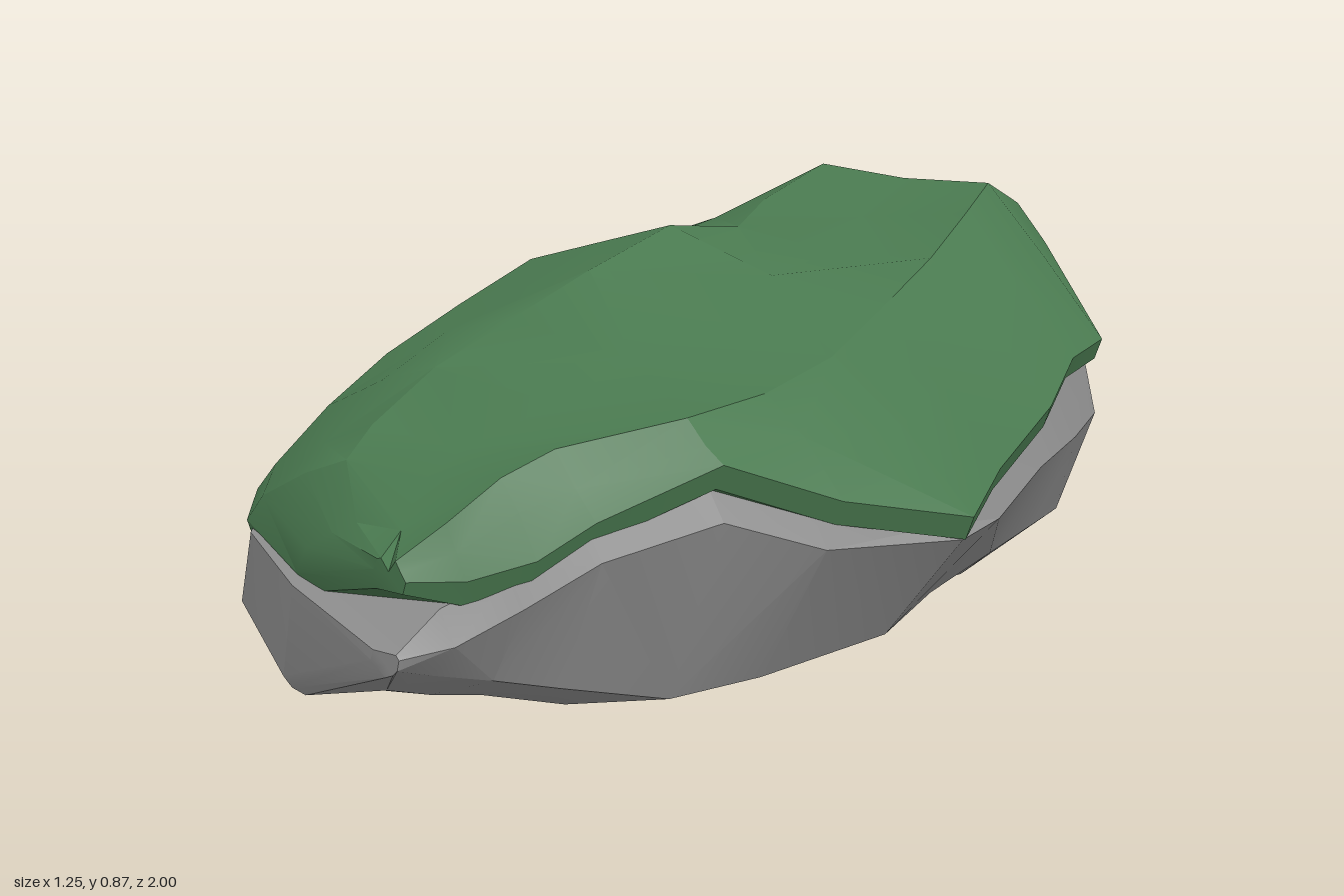
import * as THREE from 'three';
import { toCreasedNormals } from 'three/addons/utils/BufferGeometryUtils.js';

const stone = new THREE.MeshStandardMaterial({ name: 'stone grey', color: 0x8f8f8f });
const moss = new THREE.MeshStandardMaterial({ name: 'moss green', color: 0x4a7a50 });

// Stone stations, back to front:
// z, left side x y, right side x y, left rim y, right rim y, right chine y, keel x y
const STONE = [
  [-1, -0.38, 0.5, 0, 0.52, 0.58, 0.58, 0.47, -0.18, 0.42],
  [-0.94, -0.46, 0.43, 0.17, 0.48, 0.58, 0.6, 0.34, -0.15, 0.27],
  [-0.8, -0.59, 0.38, 0.27, 0.45, 0.52, 0.59, 0.23, -0.15, 0.16],
  [-0.6, -0.6, 0.35, 0.4, 0.43, 0.45, 0.55, 0.23, -0.12, 0.08],
  [-0.45, -0.61, 0.34, 0.44, 0.42, 0.42, 0.53, 0.24, -0.1, 0],
  [-0.25, -0.63, 0.32, 0.48, 0.4, 0.4, 0.48, 0.23, -0.2, 0.022],
  [0, -0.6, 0.32, 0.54, 0.38, 0.4, 0.44, 0.22, -0.36, 0.052],
  [0.22, -0.57, 0.33, 0.6, 0.39, 0.39, 0.42, 0.21, -0.38, 0.062],
  [0.45, -0.55, 0.33, 0.49, 0.42, 0.38, 0.48, 0.18, -0.36, 0.08],
  [0.6, -0.52, 0.33, 0.4, 0.47, 0.39, 0.53, 0.17, -0.33, 0.09],
  [0.75, -0.49, 0.31, 0.28, 0.42, 0.41, 0.48, 0.21, -0.29, 0.13],
  [0.85, -0.42, 0.27, 0.21, 0.37, 0.39, 0.42, 0.24, -0.24, 0.155],
  [0.93, -0.24, 0.19, 0.14, 0.32, 0.35, 0.37, 0.26, -0.19, 0.17],
  [1, 0.03, 0.29, 0.09, 0.3, 0.31, 0.31, 0.285, 0.06, 0.27],
];

// Moss stations, back to front:
// z, left lip x y, right lip x y, left shoulder y, left crest x y, right crest x y
const MOSS = [
  [-1, -0.22, 0.6, -0.06, 0.6, 0.64, -0.18, 0.67, -0.1, 0.66],
  [-0.95, -0.34, 0.57, 0.06, 0.59, 0.66, -0.24, 0.72, -0.04, 0.71],
  [-0.88, -0.44, 0.54, 0.16, 0.6, 0.69, -0.28, 0.77, 0.06, 0.75],
  [-0.77, -0.53, 0.49, 0.25, 0.58, 0.71, -0.3, 0.81, 0.12, 0.8],
  [-0.6, -0.57, 0.43, 0.41, 0.54, 0.71, -0.24, 0.87, 0.15, 0.86],
  [-0.45, -0.59, 0.4, 0.43, 0.53, 0.7, -0.28, 0.81, 0.19, 0.82],
  [-0.28, -0.61, 0.385, 0.48, 0.475, 0.7, -0.22, 0.78, 0.22, 0.76],
  [0, -0.58, 0.38, 0.54, 0.425, 0.725, -0.17, 0.82, 0.29, 0.71],
  [0.22, -0.56, 0.37, 0.62, 0.4, 0.67, -0.18, 0.765, 0.34, 0.67],
  [0.42, -0.55, 0.345, 0.5, 0.45, 0.61, -0.19, 0.705, 0.35, 0.645],
  [0.6, -0.51, 0.37, 0.4, 0.53, 0.55, -0.2, 0.65, 0.33, 0.635],
  [0.75, -0.48, 0.395, 0.27, 0.45, 0.48, -0.2, 0.58, 0.19, 0.595],
  [0.83, -0.42, 0.37, 0.22, 0.4, 0.45, -0.18, 0.54, 0.15, 0.56],
  [0.91, -0.22, 0.335, 0.15, 0.375, 0.41, -0.08, 0.47, 0.11, 0.5],
  [0.98, 0.02, 0.4, 0.09, 0.4, 0.43, 0.04, 0.45, 0.07, 0.45],
];

const mix = (a, b, t) => a + (b - a) * t;

// Small seeded unevenness in the range -s..s
let seed = 7;
function rough(s) {
  seed = (seed * 16807) % 2147483647;
  return (seed / 2147483647 * 2 - 1) * s;
}

// Closed stone section: underside, flank and rim on each side
function stoneRing([z, xL, yL, xR, yR, rimL, rimR, chine, kx, ky]) {
  const inset = Math.min(0.03, (xR - xL) * 0.1);
  return [
    [mix(kx, xL, 0.55) + rough(0.01), mix(ky, yL, 0.3) + rough(0.01), z],
    [xL, yL + rough(0.01), z],
    [xL + inset, rimL, z],
    [xR - inset, rimR, z],
    [xR, yR + rough(0.01), z],
    [mix(kx, xR, 0.85), chine, z],
    [mix(kx, xR, 0.55), mix(ky, chine, 0.42) + rough(0.01), z],
    [kx, ky, z],
  ];
}

// Closed moss section: rolled lip, shoulder and uneven crest
function mossRing([z, xL, yL, xR, yR, sY, aX, aY, bX, bY]) {
  const inset = Math.min(0.015, (xR - xL) * 0.1);
  const eL = yL + Math.min(0.13, (sY - yL) * 0.4);
  const eR = yR + Math.min(0.04, (bY - yR) * 0.4);
  return [
    [xL + inset, yL, z],
    [xL, eL, z],
    [mix(xL, aX, 0.17), sY, z],
    [mix(xL, aX, 0.6), mix(sY, aY, 0.58) + rough(0.008), z],
    [aX, aY, z],
    [mix(aX, bX, 0.5), mix(aY, bY, 0.5) - 0.015 + rough(0.008), z],
    [bX, bY, z],
    [mix(bX, xR, 0.5), mix(bY, eR, 0.45) + rough(0.01), z],
    [xR, eR, z],
    [xR - inset, yR, z],
  ];
}

// Skin consecutive rings and close both ends
function loft(rings, crease) {
  const n = rings[0].length;
  const index = [];
  for (let i = 0; i < rings.length - 1; i++) {
    for (let j = 0; j < n; j++) {
      const k = (j + 1) % n;
      const a = i * n + j, b = i * n + k, c = a + n, d = b + n;
      if ((i + j) % 2) index.push(a, c, b, b, c, d);
      else index.push(a, c, d, a, d, b);
    }
  }
  const points = rings.flat();
  for (const end of [0, rings.length - 1]) {
    const centre = [0, 1, 2].map(q => rings[end].reduce((s, p) => s + p[q] / n, 0));
    const c = points.push(centre) - 1;
    for (let j = 0; j < n; j++) {
      const a = end * n + j, b = end * n + (j + 1) % n;
      index.push(c, ...(end ? [b, a] : [a, b]));
    }
  }
  const geometry = new THREE.BufferGeometry();
  geometry.setAttribute('position', new THREE.Float32BufferAttribute(points.flat(), 3));
  geometry.setIndex(index);
  return toCreasedNormals(geometry, crease);
}

export function createModel() {
  const group = new THREE.Group();
  group.name = 'mossyRock';

  const rock = new THREE.Mesh(loft(STONE.map(stoneRing), 0.3), stone);
  rock.name = 'rockBase';

  const cover = new THREE.Mesh(loft(MOSS.map(mossRing), 0.4), moss);
  cover.name = 'mossCover';

  group.add(rock, cover);
  return group;
}
